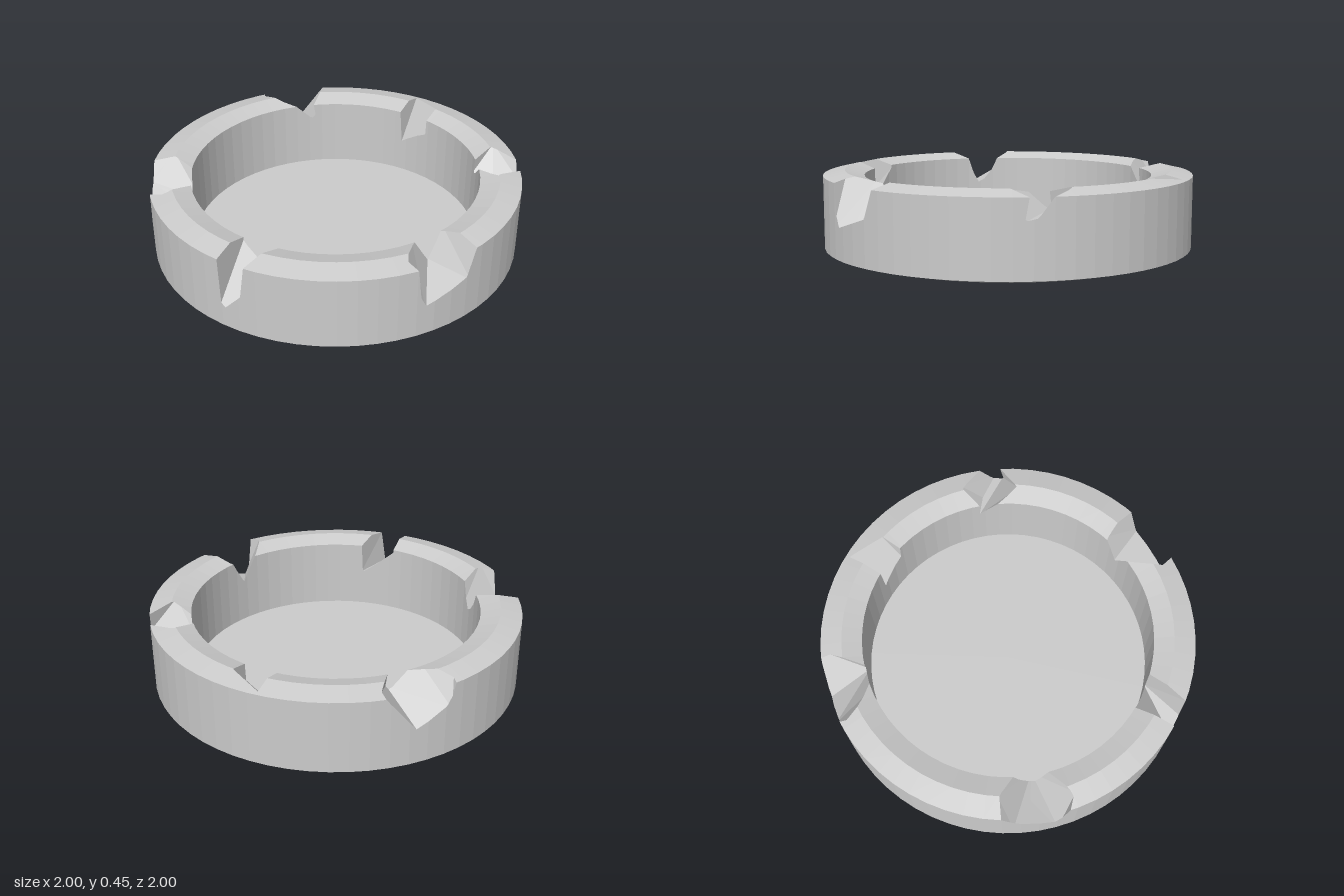
import * as THREE from 'three';
import { ConvexGeometry } from 'three/addons/geometries/ConvexGeometry.js';

const SEGMENTS = 64;
const V = (x, y, z) => new THREE.Vector3(x, y, z);

// Ring cross-section as [radius, height], running up the outside and down the inside
const PROFILE = [[1, 0.03], [1, 0.42], [0.885, 0.446], [0.78, 0.415], [0.78, 0.03], [0.885, 0]];

// Each chip is the hull of a lid outline [x, z] above the rim and a few low points [x, y, z]
const CHIPS = [
  { // front, right
    lid: [[-0.46, 0.8], [-0.3, 0.71], [-0.1, 0.74], [-0.13, 1.05], [-0.49, 0.96]],
    low: [[-0.45, 0.19, 0.92], [-0.2, 0.27, 1.0], [-0.2, 0.28, 0.75], [-0.42, 0.38, 0.86]],
  },
  { // front, left
    lid: [[0.46, 0.64], [0.55, 0.53], [0.72, 0.55], [0.73, 0.72], [0.65, 0.79], [0.45, 0.73]],
    low: [[0.61, 0.31, 0.8], [0.65, 0.32, 0.78], [0.57, 0.33, 0.52], [0.62, 0.33, 0.62]],
  },
  { // right side
    lid: [[-1.05, 0.09], [-0.72, 0.04], [-0.72, 0.25], [-1.03, 0.23]],
    low: [[-1.03, 0.13, 0.1], [-1.03, 0.24, 0.2], [-0.73, 0.25, 0.24], [-0.8, 0.3, 0.13]],
  },
  { // back, right
    lid: [[-0.83, -0.62], [-0.78, -0.51], [-0.6, -0.48], [-0.45, -0.58], [-0.47, -0.75], [-0.56, -0.9]],
    low: [[-0.79, 0.2, -0.66], [-0.62, 0.33, -0.82], [-0.52, 0.28, -0.52], [-0.6, 0.28, -0.64]],
  },
  { // back, left
    lid: [[0.38, -0.87], [0.39, -0.69], [0.48, -0.58], [0.58, -0.65], [0.75, -0.67], [0.8, -0.72], [0.45, -0.95]],
    low: [[0.62, 0.21, -0.82], [0.47, 0.3, -0.91], [0.5, 0.34, -0.57]],
  },
  { // left side, mostly on the inner lip
    lid: [[0.72, -0.12], [1.0, -0.15], [0.9, 0.05], [0.72, 0.07]],
    low: [[0.74, 0.19, -0.1], [0.74, 0.28, 0.06]],
  },
];

// Part of a convex polygon behind a plane
function clip(poly, plane) {
  const out = [];
  poly.forEach((a, i) => {
    const b = poly[(i + 1) % poly.length];
    const da = plane.distanceToPoint(a), db = plane.distanceToPoint(b);
    if (da <= 1e-7) out.push(a);
    if ((da > 1e-7 && db < -1e-7) || (da < -1e-7 && db > 1e-7)) out.push(a.clone().lerp(b, da / (da - db)));
  });
  return out.length > 2 ? out : [];
}
const inside = (poly, planes) => planes.reduce((p, plane) => (p.length ? clip(p, plane) : p), poly);

// Parts of a polygon outside a convex cutter
function outside(poly, planes) {
  const pieces = [];
  let rest = poly;
  for (const plane of planes) {
    const piece = clip(rest, plane.clone().negate());
    if (piece.length) pieces.push(piece);
    rest = clip(rest, plane);
    if (!rest.length) return [poly];
  }
  return pieces;
}

const planeOf = (p) => new THREE.Plane().setFromCoplanarPoints(p[0], p[1], p[2]);

function makeCutter({ lid, low }) {
  const points = [...lid.map(([x, z]) => V(x, 0.46, z)), ...low.map((p) => V(...p))];
  const pos = new ConvexGeometry(points).attributes.position;
  const faces = [];
  for (let i = 0; i < pos.count; i += 3) {
    faces.push([0, 1, 2].map((k) => new THREE.Vector3().fromBufferAttribute(pos, i + k)));
  }
  return { faces, planes: faces.map(planeOf) };
}

function chippedRing() {
  const cutters = CHIPS.map(makeCutter);
  const polys = [];
  for (let s = 0; s < SEGMENTS; s++) {
    const a0 = (s / SEGMENTS) * Math.PI * 2, a1 = ((s + 1) / SEGMENTS) * Math.PI * 2;
    const at = ([r, y], a) => V(r * Math.sin(a), y, r * Math.cos(a));
    const quads = PROFILE.map((p, j) => {
      const q = PROFILE[(j + 1) % PROFILE.length];
      return [at(p, a0), at(p, a1), at(q, a1), at(q, a0)];
    });
    // Skin of this wedge with the chips removed
    let skin = quads;
    for (const c of cutters) skin = skin.flatMap((q) => outside(q, c.planes));
    polys.push(...skin);
    // Broken faces of the chips where they lie within this wedge
    const wedge = [
      ...quads.map(planeOf),
      new THREE.Plane(V(Math.cos(a1), 0, -Math.sin(a1)), 0),
      new THREE.Plane(V(-Math.cos(a0), 0, Math.sin(a0)), 0),
    ];
    for (const c of cutters) {
      for (const f of c.faces) {
        const cap = inside([...f].reverse(), wedge);
        if (cap.length) polys.push(cap);
      }
    }
  }
  const verts = [];
  for (const p of polys) {
    for (let i = 1; i < p.length - 1; i++) verts.push(p[0], p[i], p[i + 1]);
  }
  const geometry = new THREE.BufferGeometry().setFromPoints(verts);
  geometry.computeVertexNormals();
  return geometry;
}

export function createModel() {
  const group = new THREE.Group();
  group.name = 'chippedDish';

  const ring = new THREE.Mesh(
    chippedRing(),
    new THREE.MeshStandardMaterial({ color: 0xcccccc, flatShading: true })
  );
  ring.name = 'chippedRing';

  // Thin floor closing the ring
  const floor = new THREE.Mesh(
    new THREE.CircleGeometry(0.78, SEGMENTS),
    new THREE.MeshStandardMaterial({ color: 0xcccccc, side: THREE.DoubleSide })
  );
  floor.name = 'floor';
  floor.rotation.x = -Math.PI / 2;
  floor.position.y = 0.03;

  group.add(ring, floor);
  return group;
}
